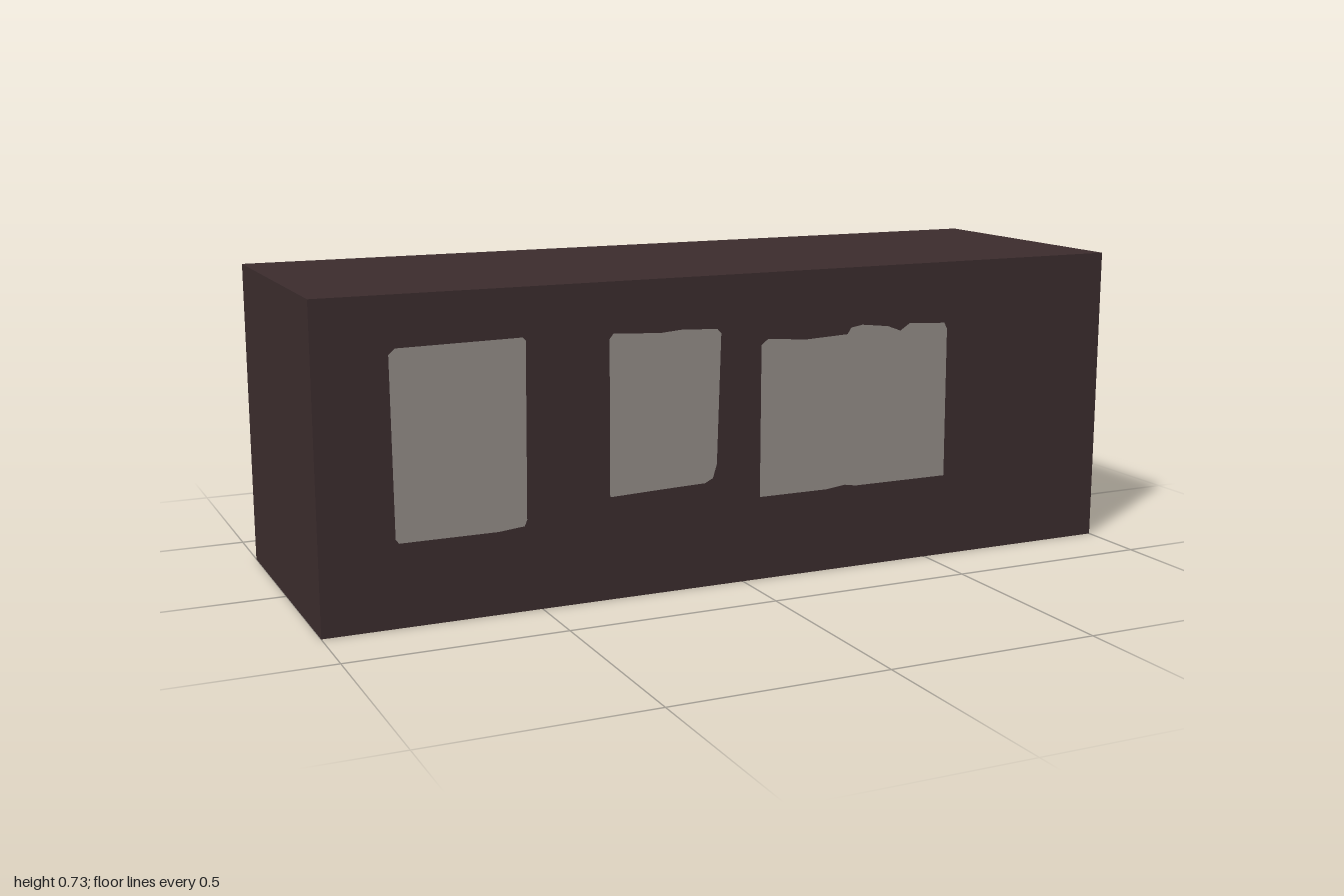
import * as THREE from 'three';

// Overall half width, height, half depth
const W = 1, H = 0.727, D = 0.333;
// Knee space: x range, ceiling height, inner front
const X0 = -0.955, X1 = 0.62, TOP = 0.682, Z1 = 0.287;

export function createModel() {
  const group = new THREE.Group();
  group.name = 'desk';
  const wood = new THREE.MeshStandardMaterial({ color: 0x3b2c2d, side: THREE.DoubleSide });
  wood.name = 'dark wood';
  const grey = new THREE.MeshStandardMaterial({ color: 0x918b86 });
  grey.name = 'pale grey';

  const add = (name, geometry, material, pos, rot = [0, 0, 0]) => {
    const mesh = new THREE.Mesh(geometry, material);
    mesh.name = name;
    mesh.position.set(...pos);
    mesh.rotation.set(...rot);
    group.add(mesh);
  };
  const panel = (name, w, h, pos, rot) => add(name, new THREE.PlaneGeometry(w, h), wood, pos, rot);
  const outline = (pts) =>
    new THREE.ShapeGeometry(new THREE.Shape(pts.map(([x, y]) => new THREE.Vector2(x, y))));
  const q = Math.PI / 2;

  // Outer shell, open underneath
  panel('frontPanel', 2 * W, H, [0, H / 2, D]);
  panel('top', 2 * W, 2 * D, [0, H, 0], [-q, 0, 0]);
  panel('leftSide', 2 * D, H, [W, H / 2, 0], [0, q, 0]);
  panel('rightSide', 2 * D, H, [-W, H / 2, 0], [0, -q, 0]);

  // Back face, cut out around the knee space (mirrored in x by its half turn)
  add('backFrame', outline([
    [-W, 0], [-X1, 0], [-X1, TOP], [-X0, TOP], [-X0, 0], [W, 0], [W, H], [-W, H],
  ]), wood, [0, 0, -D], [0, Math.PI, 0]);

  // Knee space lining
  const mid = (X0 + X1) / 2, depth = Z1 + D, zc = (Z1 - D) / 2;
  panel('kneeFront', X1 - X0, TOP, [mid, TOP / 2, Z1], [0, Math.PI, 0]);
  panel('kneeCeiling', X1 - X0, depth, [mid, TOP, zc], [q, 0, 0]);
  panel('cabinetWall', depth, TOP, [X1, TOP / 2, zc], [0, -q, 0]);
  panel('legWall', depth, TOP, [X0, TOP / 2, zc], [0, q, 0]);

  // Ragged pale sheets on the front
  const sheets = [
    [[-0.832, 0.2], [-0.825, 0.19], [-0.6, 0.19], [-0.54, 0.196], [-0.534, 0.21], [-0.53, 0.61],
      [-0.537, 0.617], [-0.82, 0.613], [-0.835, 0.6]],
    [[-0.337, 0.25], [-0.335, 0.24], [-0.2, 0.245], [-0.1, 0.248], [-0.08, 0.258], [-0.07, 0.29],
      [-0.06, 0.595], [-0.07, 0.605], [-0.16, 0.609], [-0.21, 0.605], [-0.325, 0.611], [-0.334, 0.6]],
    [[0.042, 0.2], [0.22, 0.2], [0.27, 0.206], [0.3, 0.201], [0.548, 0.201], [0.546, 0.565],
      [0.538, 0.58], [0.44, 0.585], [0.415, 0.569], [0.38, 0.582], [0.31, 0.59], [0.28, 0.585],
      [0.27, 0.57], [0.16, 0.565], [0.06, 0.573], [0.043, 0.56]],
  ];
  sheets.forEach((pts, i) => add(`frontSheet${i + 1}`, outline(pts), grey, [0, 0, D + 0.002]));

  return group;
}
